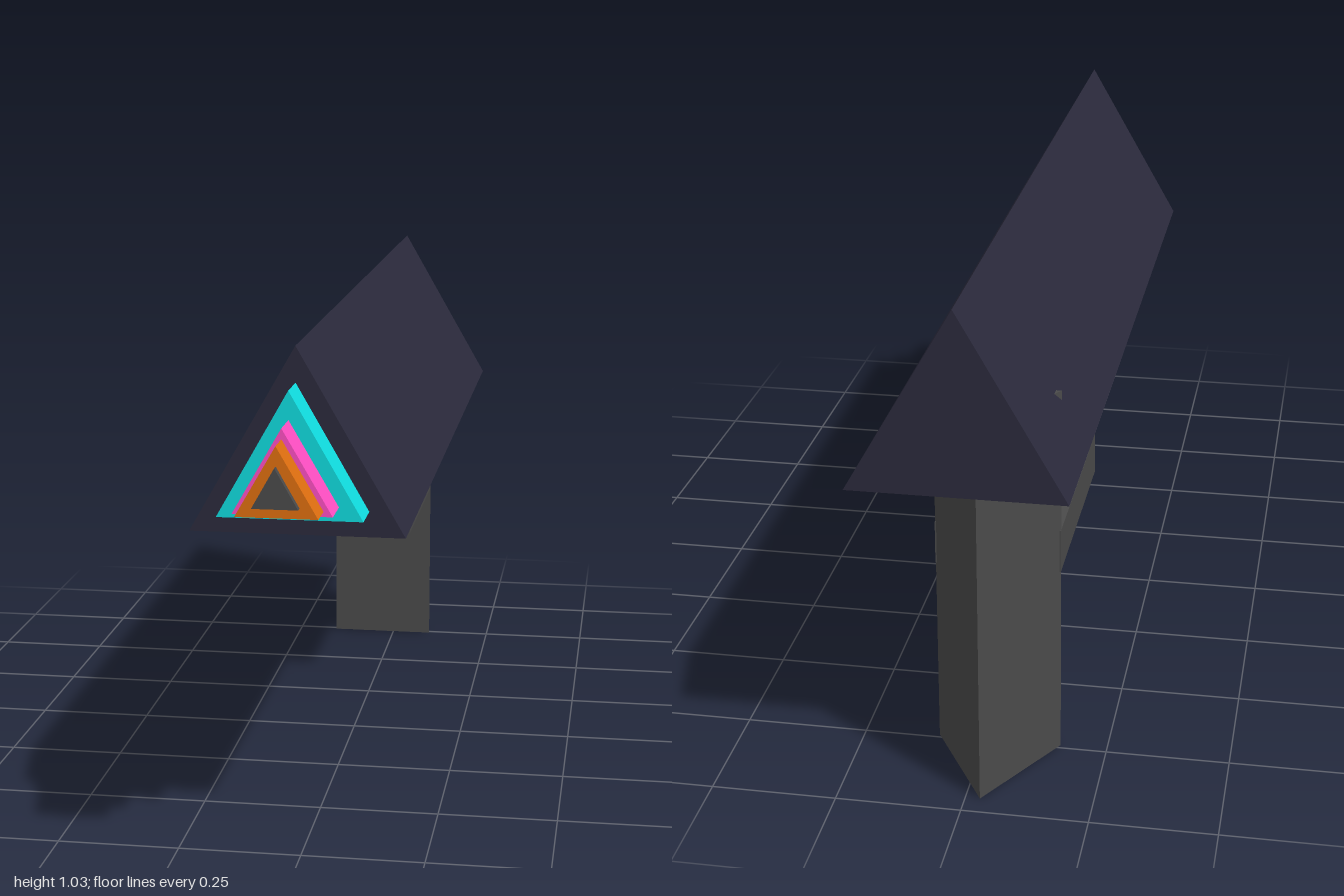
import * as THREE from 'three';

const CX = -0.029; // sideways offset of the grip, guard and trigger

function addMesh(parent, name, geometry, color) {
  const mesh = new THREE.Mesh(geometry, new THREE.MeshStandardMaterial({ color }));
  mesh.name = name;
  parent.add(mesh);
  return mesh;
}

// Triangular prism: base edge on y0, apex at y1, extruded along z
function prism(cx, half, y0, y1, depth) {
  const shape = new THREE.Shape([
    new THREE.Vector2(cx - half, y0),
    new THREE.Vector2(cx + half, y0),
    new THREE.Vector2(cx, y1),
  ]);
  return new THREE.ExtrudeGeometry(shape, { depth, bevelEnabled: false });
}

// Round rod between two points of the x = CX plane, given as [y, z]
function rod(a, b, radius) {
  const p = new THREE.Vector3(CX, ...a), q = new THREE.Vector3(CX, ...b);
  const dir = q.clone().sub(p);
  const g = new THREE.CylinderGeometry(radius, radius, dir.length(), 24);
  g.applyQuaternion(new THREE.Quaternion().setFromUnitVectors(
    new THREE.Vector3(0, 1, 0), dir.clone().normalize()));
  const mid = p.add(q).multiplyScalar(0.5);
  return g.translate(mid.x, mid.y, mid.z);
}

export function createModel() {
  const model = new THREE.Group();
  model.name = 'triangularBlaster';

  // Body and stepped muzzle: name, half width, base y, apex y, z start, z end, color
  const prisms = [
    ['body', 0.21, 0.67, 1.035, -1, 0.77, 0x2b2a3c],
    ['muzzleRingLarge', 0.14, 0.72, 0.965, 0.77, 0.85, 0x10dde0],
    ['muzzleRingMedium', 0.094, 0.747, 0.91, 0.85, 0.925, 0xff4fc4],
    ['muzzleRingSmall', 0.077, 0.757, 0.89, 0.925, 0.985, 0xe06f10],
    ['muzzleTip', 0.043, 0.777, 0.853, 0.985, 1, 0x4a4a4a],
  ];
  for (const [name, half, y0, y1, z0, z1, color] of prisms) {
    addMesh(model, name, prism(0, half, y0, y1, z1 - z0), color).position.z = z0;
  }

  // Grip: upright triangular prism with its edge to the rear
  const grip = addMesh(model, 'grip', prism(CX, 0.126, 0.74, 0.955, 0.785), 0x4a4a4a);
  grip.rotation.x = -Math.PI / 2;

  // Trigger guard: lower bar and front post as one L profile
  const profile = [[0.27, 0.4], [0.745, 0.4], [0.745, 0.49], [0.365, 0.49], [0.365, 0.7], [0.27, 0.7]];
  const guardShape = new THREE.Shape(profile.map(([x, y]) => new THREE.Vector2(x, y)));
  const guard = addMesh(model, 'triggerGuard',
    new THREE.ExtrudeGeometry(guardShape, { depth: 0.252, bevelEnabled: false }), 0x4a4a4a);
  guard.rotation.y = Math.PI / 2;
  guard.position.x = CX - 0.126;

  // Trigger: short stem and slanted lever
  const trigger = new THREE.Group();
  trigger.name = 'trigger';
  model.add(trigger);
  addMesh(trigger, 'triggerStem', rod([0.72, -0.567], [0.62, -0.567], 0.033), 0x222222);
  addMesh(trigger, 'triggerLever', rod([0.635, -0.565], [0.51, -0.667], 0.032), 0x222222);

  return model;
}
